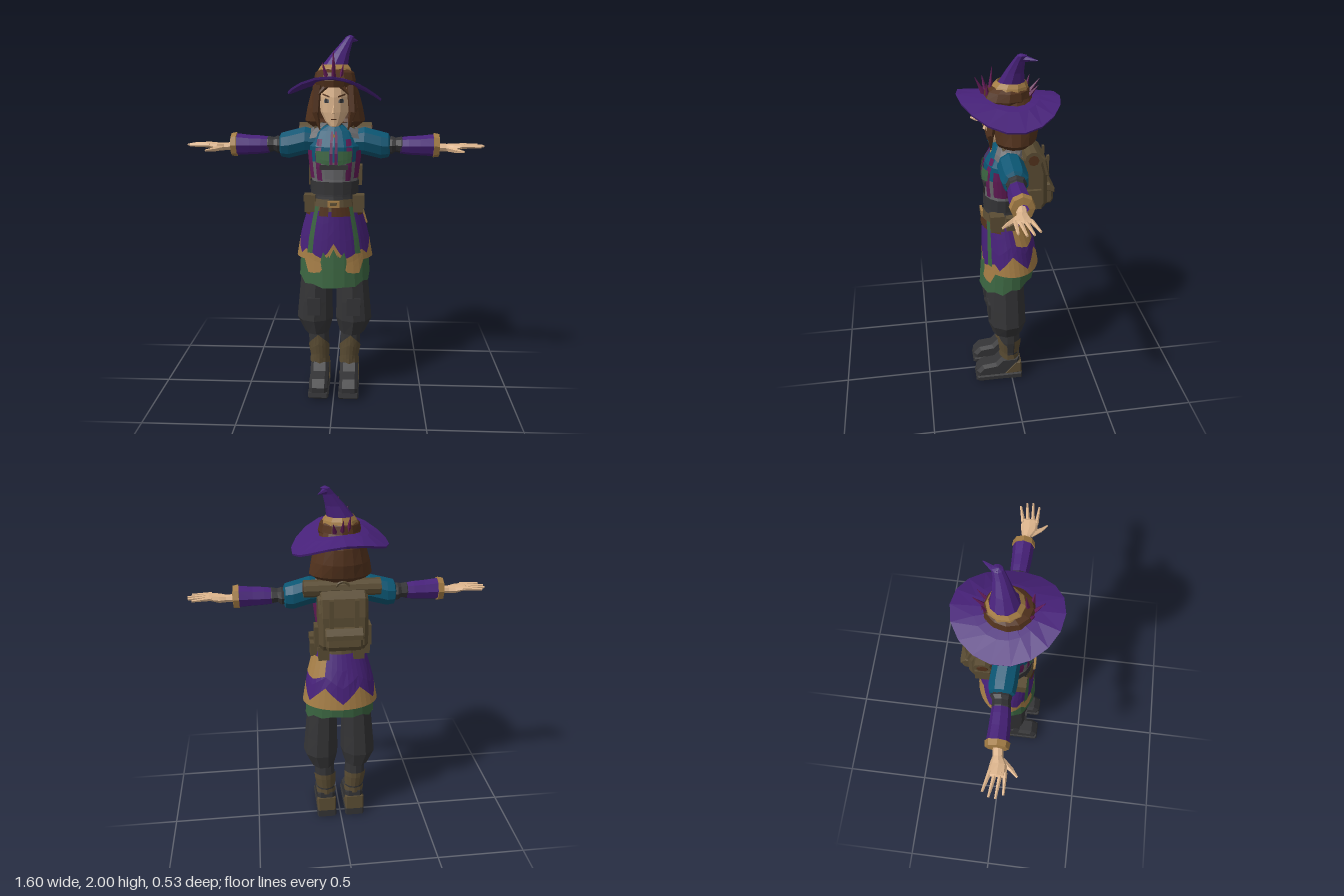
import * as THREE from 'three';

const mat = (name, color, open) => {
  const m = new THREE.MeshStandardMaterial({ color });
  m.name = name;
  if (open) m.side = THREE.DoubleSide;
  return m;
};

export function createModel() {
  const purple = mat('purple cloth', 0x472179, true), green = mat('green cloth', 0x3b6541, true);
  const tan = mat('ochre trim', 0xa37c45, true), teal = mat('teal cloth', 0x0b5673, true);
  const leather = mat('olive leather', 0x5a4c33), hair = mat('brown hair', 0x52321d, true);
  const charcoal = mat('charcoal', 0x343436, true), grey = mat('grey cloth', 0x68686b, true);
  const skin = mat('skin', 0xdcb48c), plum = mat('plum', 0x601a54, true);
  const root = new THREE.Group();

  const add = (name, geo, m, parent = root) => {
    const g = geo.index ? geo.toNonIndexed() : geo;
    g.computeVertexNormals();
    const mesh = new THREE.Mesh(g, m);
    mesh.name = name;
    parent.add(mesh);
    return mesh;
  };

  // Profile row: [y, rx, rz, cx, cz]; sample a profile at height y
  const at = (prof, y) => {
    let i = 0;
    while (i < prof.length - 2 && y > prof[i + 1][0]) i++;
    const p = prof[i], q = prof[i + 1], t = (y - p[0]) / (q[0] - p[0]);
    return p.map((v, k) => v + (q[k] - v) * t);
  };

  // Faceted shell around a profile; bot/top cut a patch from it, angle 0 faces +z
  function shell(name, m, prof, o = {}) {
    const { n = 12, a0 = 0, a1 = Math.PI * 2, off = 0, bot, top, warp, parent } = o;
    const rows = bot !== undefined ? 3 : prof.length - 1, pos = [], idx = [];
    const val = (f, a) => (typeof f === 'function' ? f(a) : f);
    for (let r = 0; r <= rows; r++) for (let j = 0; j <= n; j++) {
      const a = a0 + (a1 - a0) * j / n;
      const p = bot === undefined ? prof[r] : at(prof, val(bot, a) + (val(top, a) - val(bot, a)) * r / rows);
      const v = [p[3] + (p[1] + off) * Math.sin(a), p[0], p[4] + (p[2] + off) * Math.cos(a)];
      if (warp) warp(v);
      pos.push(...v);
      if (r < rows && j < n) {
        const k = r * (n + 1) + j, u = k + n + 1;
        idx.push(k, k + 1, u + 1, k, u + 1, u);
      }
    }
    const g = new THREE.BufferGeometry();
    g.setAttribute('position', new THREE.Float32BufferAttribute(pos, 3));
    g.setIndex(idx);
    return add(name, g, m, parent);
  }

  const box = (name, m, w, h, d, x, y, z, rz = 0) => {
    const b = add(name, new THREE.BoxGeometry(w, h, d), m);
    b.position.set(x, y, z);
    b.rotation.z = rz;
    return b;
  };
  const rod = (name, m, p, q, r1, r2, n = 6) => {
    const a = new THREE.Vector3(...p), d = new THREE.Vector3(...q).sub(a);
    const c = add(name, new THREE.CylinderGeometry(r2, r1, d.length(), n), m);
    c.position.copy(a).addScaledVector(d, 0.5);
    c.quaternion.setFromUnitVectors(new THREE.Vector3(0, 1, 0), d.normalize());
    return c;
  };
  // Side outline of (z, y) points, extruded across x
  const slab = (name, m, pts, width, x, bevel) => {
    const s = new THREE.Shape(pts.map(p => new THREE.Vector2(...p)));
    const g = new THREE.ExtrudeGeometry(s, { depth: width - 2 * bevel, bevelSize: bevel, bevelThickness: bevel, bevelOffset: -bevel, bevelSegments: 1 });
    g.translate(0, 0, -(width - 2 * bevel) / 2).rotateY(-Math.PI / 2).translate(x, 0, 0);
    return add(name, g, m);
  };

  // Legs
  for (const s of [1, -1]) {
    const x = 0.085 * s;
    slab('bootSole', charcoal, [[-0.06, 0], [0.05, 0.005], [0.2, 0.005], [0.22, 0.02], [0.215, 0.045], [-0.06, 0.045]], 0.115, x, 0.008);
    slab('boot', charcoal, [[-0.055, 0.03], [0.212, 0.03], [0.215, 0.075], [0.18, 0.115], [0.1, 0.125], [0.065, 0.165], [-0.045, 0.165]], 0.105, x, 0.018);
    slab('bootHeelPatch', leather, [[-0.06, 0.045], [0.05, 0.045], [0.02, 0.085], [-0.02, 0.13], [-0.055, 0.13]], 0.112, x, 0.008);
    const shin = [[0.13, 0.05, 0.052, x, 0.01], [0.2, 0.05, 0.053, x, 0.012], [0.28, 0.06, 0.064, x * 1.06, 0.012], [0.37, 0.058, 0.062, x * 1.1, 0.014]];
    shell('shin', charcoal, shin, { n: 10 });
    shell('shinGuard', leather, shin, { n: 8, a0: -1.25, a1: 1.25, off: 0.006, bot: 0.16, top: a => 0.34 - 0.06 * Math.abs(a) });
    shell('ankleStrap', leather, shin, { n: 10, off: 0.009, bot: 0.155, top: 0.19 });
    shell('calfStrap', leather, shin, { n: 6, a0: 1.9, a1: 4.4, off: 0.008, bot: 0.2, top: 0.3 });
    shell('trouserLeg', charcoal, [[0.36, 0.04, 0.05, 0.1 * s, 0.02], [0.352, 0.07, 0.085, 0.1 * s, 0.025], [0.44, 0.103, 0.11, 0.11 * s, 0.028],
      [0.55, 0.096, 0.108, 0.106 * s, 0.03], [0.7, 0.088, 0.1, 0.1 * s, 0.03], [0.9, 0.085, 0.09, 0.085 * s, 0.025]], { n: 9 });
    box('thighPocket', charcoal, 0.075, 0.1, 0.012, 0.11 * s, 0.53, 0.134);
  }

  // Skirts
  const under = [[0.64, 0.2, 0.155, 0, 0.018], [0.85, 0.19, 0.15, 0, 0.008], [1.1, 0.13, 0.1, 0, 0.03]];
  shell('underskirt', green, under, { n: 20, bot: a => 0.695 - 0.045 * Math.cos(a) + 0.012 * Math.sin(a * 9), top: 0.98 });
  const over = [[0.7, 0.222, 0.168, 0, 0.002], [0.8, 0.212, 0.16, 0, -0.002], [0.95, 0.185, 0.145, 0, 0.01], [1.1, 0.14, 0.112, 0, 0.035]];
  const front = a => Math.cos(a) > 0.75;
  const zig = a => Math.abs(((a / (Math.PI / 3)) % 1 + 1) % 1 - 0.5) * 2;
  const hem = a => front(a) ? 0.87 - 0.14 * Math.sin(Math.min(Math.abs(Math.sin(a)) * 2.3, 1) * Math.PI / 2) : 0.8;
  const split = a => front(a) ? hem(a) + 0.03 + 0.07 * Math.abs(Math.sin(a)) * 2 : 0.83 + 0.09 * (1 - zig(a));
  shell('overskirt', purple, over, { n: 36, bot: split, top: 1.1 });
  shell('overskirtTrim', tan, over, { n: 36, bot: hem, top: split });
  for (const s of [1, -1])
    shell('skirtStripe', green, over, { n: 2, a0: s * 0.68 - 0.09, a1: s * 0.68 + 0.09, off: 0.005, bot: 0.84, top: 1.1 });
  shell('hipCloth', tan, over, { n: 4, a0: 1.75, a1: 2.6, off: 0.012, bot: a => 0.96 + 0.06 * Math.abs(a - 2.15), top: 1.08 });
  for (const a of [-0.35, 0.1, 0.42, 1.1, -1.1])
    shell('beltFlap', hair, over, { n: 2, a0: a - 0.17, a1: a + 0.17, off: 0.008, bot: 1.05, top: 1.1 });

  // Torso
  const torso = [[1.06, 0.14, 0.11, 0, 0.035], [1.16, 0.118, 0.09, 0, 0.04], [1.24, 0.122, 0.09, 0, 0.04], [1.34, 0.135, 0.098, 0, 0.042],
    [1.42, 0.142, 0.094, 0, 0.038], [1.5, 0.105, 0.065, 0, 0.015], [1.535, 0.045, 0.045, 0, 0.01]];
  shell('torso', grey, torso, { n: 16, bot: 1.06, top: 1.34 });
  shell('shirt', teal, torso.slice(3), { n: 16 });
  shell('corset', charcoal, torso, { n: 16, off: 0.012, bot: 1.165, top: 1.235 });
  shell('belt', leather, torso, { n: 16, off: 0.01, bot: 1.075, top: 1.14 });
  shell('upperBelt', charcoal, torso, { n: 16, off: 0.006, bot: 1.13, top: 1.165 });
  box('buckle', tan, 0.065, 0.035, 0.012, 0, 1.118, 0.153);
  box('buckleCentre', leather, 0.035, 0.015, 0.006, 0, 1.118, 0.158);
  box('chestBand', charcoal, 0.15, 0.025, 0.012, 0, 1.315, 0.139);
  for (const s of [1, -1]) {
    shell('vestSide', plum, torso, { n: 5, a0: s * 1.5 - 0.55, a1: s * 1.5 + 0.55, off: 0.006, bot: 1.25, top: 1.4 });
    shell('vestStrip', plum, torso, { n: 2, a0: s * 0.62 - 0.13, a1: s * 0.62 + 0.13, off: 0.008, bot: 1.24, top: 1.46 });
    shell('lapel', green, torso, { n: 3, a0: s * 0.42 - 0.26, a1: s * 0.42 + 0.26, off: 0.014, bot: a => 1.32 + 0.03 * Math.abs(a), top: 1.4 });
    shell('placketEdge', plum, torso, { n: 1, a0: s * 0.09 - 0.05, a1: s * 0.09 + 0.05, off: 0.011, bot: 1.33, top: 1.5 });
    // Shoulder cape
    shell('shoulderCape', grey, [[1.44, 0.185, 0.105, 0, 0.015], [1.5, 0.15, 0.085, 0, 0.01], [1.545, 0.06, 0.055, 0, 0.005]],
      { n: 6, a0: s * 1.55 - 0.95, a1: s * 1.55 + 0.95, bot: a => 1.45 + 0.03 * Math.abs(Math.abs(a) - 1.2), top: 1.54 });
    box('hipPouch', leather, 0.055, 0.09, 0.07, 0.132 * s, 1.112, 0.085);
    box('pouchFlap', leather, 0.062, 0.035, 0.076, 0.132 * s, 1.143, 0.085);
    box('sidePouch', leather, 0.04, 0.075, 0.055, 0.145 * s, 1.11, 0.01);
    box('backPouch', leather, 0.06, 0.08, 0.04, 0.095 * s, 1.11, -0.06);
  }

  // Arms: profiles run outward along x, rx is the half height
  for (const s of [1, -1]) {
    const arm = new THREE.Group();
    arm.name = s > 0 ? 'leftArm' : 'rightArm';
    arm.position.set(0, 1.42, 0.01);
    arm.rotation.z = -s * Math.PI / 2;
    root.add(arm);
    const part = (name, m, rows, n = 8) => shell(name, m, rows.map(([x, h, d, dy, z]) => [x, h, d, -s * dy, z]), { n, parent: arm });
    part('puffSleeve', teal, [[0.09, 0.06, 0.06, 0.02, 0.005], [0.16, 0.075, 0.07, 0.025, 0.005], [0.25, 0.075, 0.072, 0.002, 0], [0.29, 0.066, 0.066, 0, 0], [0.305, 0.035, 0.035, 0, 0]], 9);
    part('elbowSleeve', charcoal, [[0.28, 0.042, 0.05, 0, 0], [0.31, 0.049, 0.054, 0, 0], [0.33, 0.038, 0.045, 0.003, 0.005], [0.36, 0.045, 0.048, 0.002, 0.008], [0.385, 0.036, 0.04, 0, 0.01]]);
    part('forearmSleeve', purple, [[0.35, 0.02, 0.02, 0, 0.008], [0.355, 0.044, 0.046, 0, 0.008], [0.4, 0.05, 0.05, 0, 0.01], [0.46, 0.053, 0.053, 0, 0.012], [0.54, 0.06, 0.056, 0.002, 0.012]]);
    part('cuff', tan, [[0.53, 0.055, 0.05, 0.002, 0.012], [0.532, 0.066, 0.062, 0.002, 0.012], [0.562, 0.062, 0.058, 0, 0.012], [0.566, 0.025, 0.028, 0, 0.012]]);
    part('hand', skin, [[0.55, 0.022, 0.026, -0.008, 0.018], [0.6, 0.021, 0.026, -0.01, 0.022], [0.635, 0.023, 0.042, -0.01, 0.03], [0.69, 0.014, 0.046, 0.001, 0.028], [0.7, 0.004, 0.036, 0.002, 0.028]]);
    [[0.0, -0.02, 0.775], [0.025, 0.012, 0.797], [0.05, 0.045, 0.8], [0.07, 0.08, 0.78]].forEach(([z0, z1, x]) =>
      rod('finger', skin, [0.675 * s, 1.421, z0 + 0.005], [x * s, 1.42, z1], 0.012, 0.006, 5));
    rod('thumb', skin, [0.615 * s, 1.405, 0.055], [0.655 * s, 1.4, 0.105], 0.016, 0.012, 5);
    rod('thumbTip', skin, [0.65 * s, 1.4, 0.1], [0.685 * s, 1.4, 0.135], 0.012, 0.005, 5);
  }

  // Head and face
  shell('neck', skin, [[1.46, 0.045, 0.042, 0, 0.015], [1.6, 0.04, 0.04, 0, 0.015]], { n: 8 });
  shell('choker', charcoal, [[1.515, 0.052, 0.05, 0, 0.015], [1.54, 0.048, 0.046, 0, 0.015]], { n: 8 });
  box('pendant', tan, 0.022, 0.026, 0.01, 0, 1.47, 0.095, Math.PI / 4);
  const head = [[1.522, 0, 0, 0, 0.08], [1.527, 0.022, 0.025, 0, 0.085], [1.55, 0.048, 0.06, 0, 0.052], [1.6, 0.076, 0.1, 0, 0.018], [1.68, 0.086, 0.11, 0, 0.01], [1.76, 0.08, 0.1, 0, 0.01]];
  shell('face', skin, head, { n: 14 });
  const nose = add('nose', new THREE.ConeGeometry(0.012, 0.055, 4), skin);
  nose.position.set(0, 1.622, 0.121);
  nose.rotation.x = -0.2;
  shell('mouth', hair, head, { n: 2, a0: -0.24, a1: 0.24, off: 0.003, bot: 1.563, top: 1.568 });
  for (const s of [1, -1]) {
    shell('eyeWhite', grey, head, { n: 3, a0: s * 0.47 - 0.17, a1: s * 0.47 + 0.17, off: 0.003, bot: 1.65, top: 1.668 });
    shell('iris', charcoal, head, { n: 2, a0: s * 0.46 - 0.09, a1: s * 0.46 + 0.09, off: 0.005, bot: 1.65, top: 1.672 });
    shell('eyebrow', hair, head, { n: 2, a0: s * 0.5 - 0.24, a1: s * 0.5 + 0.24, off: 0.004, bot: a => 1.672 + 0.025 * Math.abs(a), top: a => 1.68 + 0.025 * Math.abs(a) });
    rod('frontLock', hair, [0.088 * s, 1.74, 0.095], [0.098 * s, 1.6, 0.11], 0.024, 0.022, 5);
    rod('frontLockTip', hair, [0.098 * s, 1.605, 0.11], [0.075 * s, 1.51, 0.105], 0.022, 0.003, 5);
    rod('fringe', hair, [0.01 * s, 1.77, 0.105], [0.085 * s, 1.69, 0.112], 0.02, 0.006, 5);
  }
  shell('hair', hair, [[1.545, 0.04, 0.04, 0, -0.01], [1.515, 0.12, 0.095, 0, -0.02], [1.55, 0.165, 0.122, 0, -0.02], [1.62, 0.152, 0.135, 0, -0.02],
    [1.7, 0.13, 0.13, 0, -0.018], [1.77, 0.1, 0.11, 0, -0.005]], { n: 14, a0: 0.62, a1: Math.PI * 2 - 0.62 });

  // Hat: the brim droops at the sides and tips to its left
  shell('hatBrim', purple, [[-0.012, 0.04, 0.04, 0, 0], [-0.012, 0.15, 0.155, 0, 0], [-0.012, 0.25, 0.262, 0, 0.003], [0, 0.253, 0.266, 0, 0.003], [0.004, 0.15, 0.155, 0, 0], [0.01, 0.04, 0.04, 0, 0]],
    { n: 18, warp: v => { v[1] += 1.77 - 1.4 * v[0] * v[0] - 0.07 * v[0] + 0.07 * v[2]; } });
  shell('hatCrown', purple, [[1.75, 0.1, 0.11, 0, 0.01], [1.84, 0.07, 0.068, 0, -0.012], [1.9, 0.05, 0.048, 0.028, -0.022], [1.96, 0.03, 0.032, 0.062, -0.038],
    [1.99, 0.023, 0.026, 0.08, -0.05], [2, 0, 0, 0.08, -0.045]], { n: 9 });
  rod('hatTip', purple, [0.07, 1.975, -0.045], [0.12, 1.972, -0.12], 0.021, 0.002);
  shell('hatWrap', hair, [[1.73, 0.1, 0.12, 0, 0.015], [1.765, 0.112, 0.128, 0, 0.015], [1.805, 0.103, 0.112, 0, 0.01], [1.825, 0.075, 0.08, 0, 0]], { n: 12 });
  shell('hatBand', tan, [[1.8, 0.096, 0.1, 0, 0], [1.825, 0.088, 0.09, 0, -0.004], [1.845, 0.073, 0.073, 0, -0.01]], { n: 10 });
  [[0, 0.115, 0, 1.87, 0.172], [0, 0.1, -0.005, 1.92, 0.085], [-0.03, 0.11, -0.06, 1.86, 0.13], [0.03, 0.11, 0.05, 1.85, 0.12], [0, -0.08, 0, 1.85, -0.155],
    [0.03, -0.08, 0.05, 1.83, -0.14], [-0.03, -0.08, -0.04, 1.86, -0.11]].forEach(([x, z, tx, ty, tz]) =>
    rod('feather', plum, [x, 1.755, z], [tx, ty, tz], 0.017, 0.001, 4));

  // Backpack and bedroll
  slab('backpack', leather, [[-0.035, 1.175], [-0.165, 1.17], [-0.188, 1.2], [-0.184, 1.38], [-0.165, 1.45], [-0.12, 1.49], [-0.035, 1.49]], 0.26, 0, 0.022);
  slab('backpackFlap', leather, [[-0.06, 1.485], [-0.125, 1.5], [-0.178, 1.455], [-0.198, 1.36], [-0.17, 1.36], [-0.1, 1.47]], 0.235, 0, 0.008);
  slab('backPocket', leather, [[-0.17, 1.18], [-0.215, 1.185], [-0.228, 1.21], [-0.222, 1.27], [-0.2, 1.3], [-0.17, 1.3]], 0.19, 0, 0.012);
  slab('pocketFlap', leather, [[-0.17, 1.305], [-0.205, 1.305], [-0.232, 1.275], [-0.232, 1.25], [-0.17, 1.27]], 0.2, 0, 0.006);
  rod('bedroll', leather, [-0.2, 1.49, -0.095], [0.2, 1.49, -0.095], 0.045, 0.045, 10);
  const handle = add('backpackHandle', new THREE.TorusGeometry(0.035, 0.007, 5, 8, Math.PI), leather);
  handle.position.set(0, 1.495, -0.13);
  for (const s of [1, -1]) {
    box('packStrap', leather, 0.022, 0.17, 0.012, 0.065 * s, 1.37, -0.195);
    box('sidePocket', leather, 0.03, 0.11, 0.08, 0.135 * s, 1.24, -0.11);
    shell('rollEnd', hair, [[0.199, 0.028, 0.028, 0, 0], [0.203, 0.028, 0.028, 0, 0], [0.203, 0, 0, 0, 0]], { n: 8 }).rotation.z = -s * Math.PI / 2;
    root.children[root.children.length - 1].position.set(0, 1.49, -0.095);
    rod('shoulderStrap', leather, [0.085 * s, 1.525, -0.06], [0.1 * s, 1.515, 0.05], 0.012, 0.012, 4);
  }
  return root;
}
